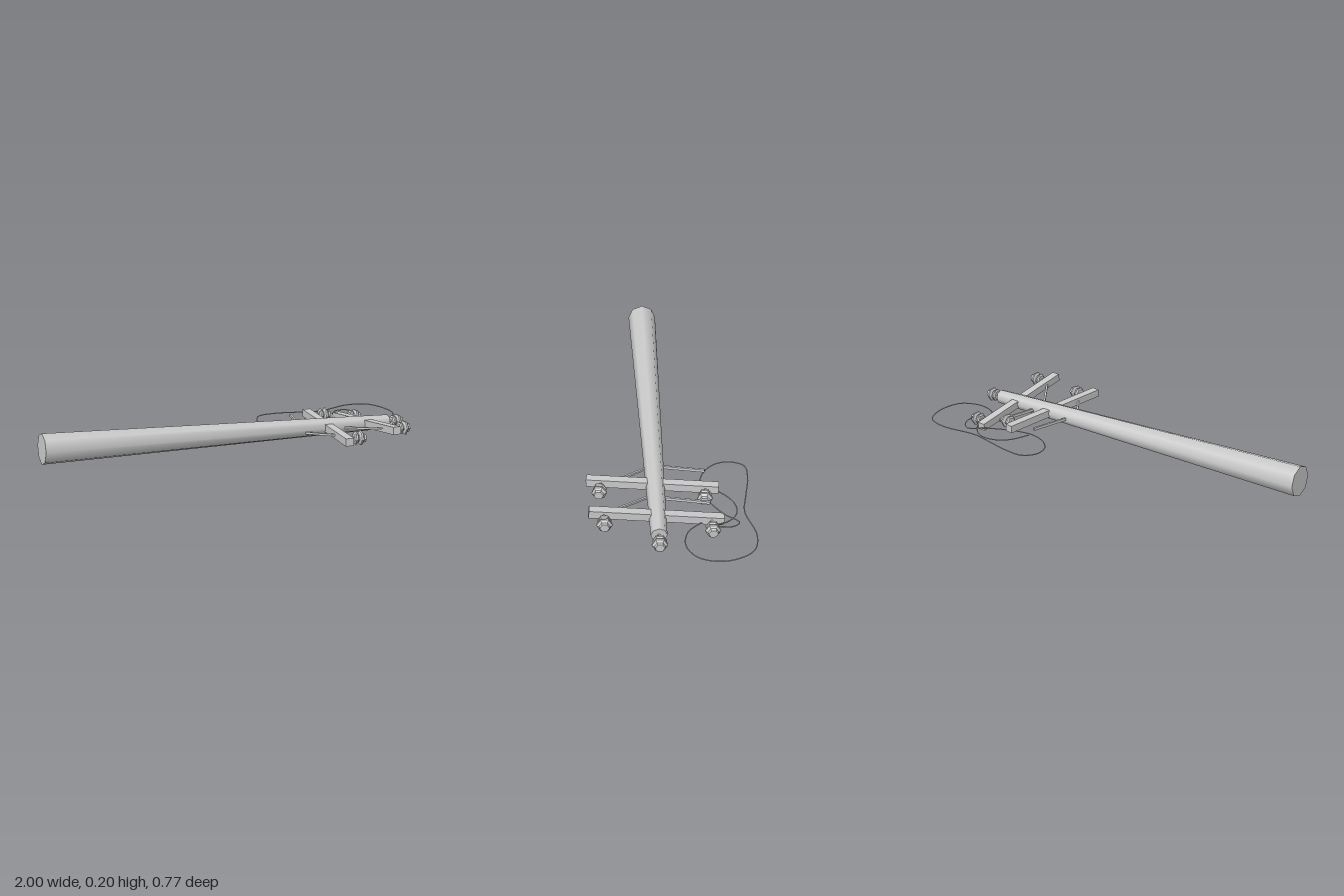
import * as THREE from 'three';

const V = (x, y, z) => new THREE.Vector3(x, y, z);
const UP = V(0, 1, 0);

export function createModel() {
  const group = new THREE.Group();
  group.name = 'fallenUtilityPole';
  const smooth = new THREE.MeshStandardMaterial({ color: 0xcccccc });
  const flat = new THREE.MeshStandardMaterial({ color: 0xcccccc, flatShading: true });

  const add = (name, geometry, material) => {
    const mesh = new THREE.Mesh(geometry, material);
    mesh.name = name;
    group.add(mesh);
    return mesh;
  };

  // Rectangular beam between two points, with its section kept level
  const beam = (name, a, b, width, height) => {
    const mesh = add(name, new THREE.BoxGeometry(width, height, a.distanceTo(b)), flat);
    mesh.position.copy(a).lerp(b, 0.5);
    mesh.lookAt(b);
    return mesh;
  };

  // Tapered eight-sided pole lying on its side
  const butt = V(-0.997, 0.124, 0.075), tip = V(0.83, 0.05, 0.052);
  const axis = tip.clone().sub(butt).normalize();
  const pole = add('pole', new THREE.CylinderGeometry(0.037, 0.074, butt.distanceTo(tip), 8), smooth);
  pole.position.copy(butt).lerp(tip, 0.5);
  pole.quaternion.setFromUnitVectors(UP, axis);

  // Hexagonal insulator: pin, two flared skirts and a small cap
  const profile = [
    [0, -0.012], [0.008, -0.012], [0.008, 0.025], [0.024, 0.025], [0.032, 0.031],
    [0.032, 0.040], [0.021, 0.047], [0.021, 0.051], [0.036, 0.057], [0.036, 0.066],
    [0.025, 0.074], [0.022, 0.086], [0, 0.086],
  ].map(([r, y]) => new THREE.Vector2(r, y));
  const insulatorGeometry = new THREE.LatheGeometry(profile, 6);
  const insulator = (base, direction) => {
    const mesh = add('insulator', insulatorGeometry, flat);
    mesh.position.copy(base);
    mesh.quaternion.setFromUnitVectors(UP, direction.clone().normalize());
  };
  insulator(tip, axis);

  // Two crossarms through the pole, each carrying two insulators
  const arms = [
    { name: 'upperCrossarm', a: V(0.708, 0.095, 0.362), b: V(0.694, 0.022, -0.246), zs: [0.293, -0.19] },
    { name: 'lowerCrossarm', a: V(0.44, 0.07, 0.375), b: V(0.51, 0.061, -0.237), zs: [0.308, -0.175] },
  ];
  for (const { name, a, b, zs } of arms) {
    beam(name, a, b, 0.042, 0.038);
    const along = b.clone().sub(a);
    const outward = V(1, -0.04, -along.x / along.z);
    for (const z of zs) {
      const base = a.clone().lerp(b, (z - a.z) / along.z);
      base.x += 0.021;
      insulator(base, outward);
    }
  }

  // Thin braces: one per arm still attached, the other swung loose
  beam('brace', V(0.34, 0.056, 0.10), V(0.45, 0.068, 0.24), 0.01, 0.01);
  beam('looseBrace', V(0.34, 0.068, 0.05), V(0.39, 0.072, -0.18), 0.01, 0.014);
  beam('brace', V(0.55, 0.055, 0.075), V(0.69, 0.08, 0.265), 0.01, 0.01);
  beam('looseBrace', V(0.565, 0.056, 0.05), V(0.617, 0.058, -0.19), 0.01, 0.014);

  // Slack wires trailing on the ground
  const wire = (points) => {
    const curve = new THREE.CatmullRomCurve3(points.map((p) => V(...p)));
    add('wire', new THREE.TubeGeometry(curve, points.length * 5, 0.003, 5), smooth);
  };
  wire([
    [0.775, 0.045, -0.22], [0.77, 0.038, -0.28], [0.73, 0.03, -0.315], [0.66, 0.024, -0.25],
    [0.55, 0.02, -0.185], [0.44, 0.018, -0.152], [0.33, 0.02, -0.18], [0.27, 0.022, -0.24],
    [0.26, 0.024, -0.31], [0.30, 0.03, -0.375], [0.40, 0.032, -0.383], [0.53, 0.03, -0.362],
    [0.65, 0.028, -0.345], [0.83, 0.034, -0.383], [0.94, 0.034, -0.355], [0.993, 0.03, -0.24],
    [0.97, 0.03, -0.12], [0.88, 0.026, -0.065], [0.78, 0.024, -0.08], [0.71, 0.022, -0.15],
  ]);
  wire([
    [0.44, 0.018, -0.165], [0.49, 0.012, -0.255], [0.57, 0.011, -0.308], [0.65, 0.013, -0.308],
    [0.71, 0.018, -0.26], [0.745, 0.03, -0.2],
  ]);

  return group;
}
